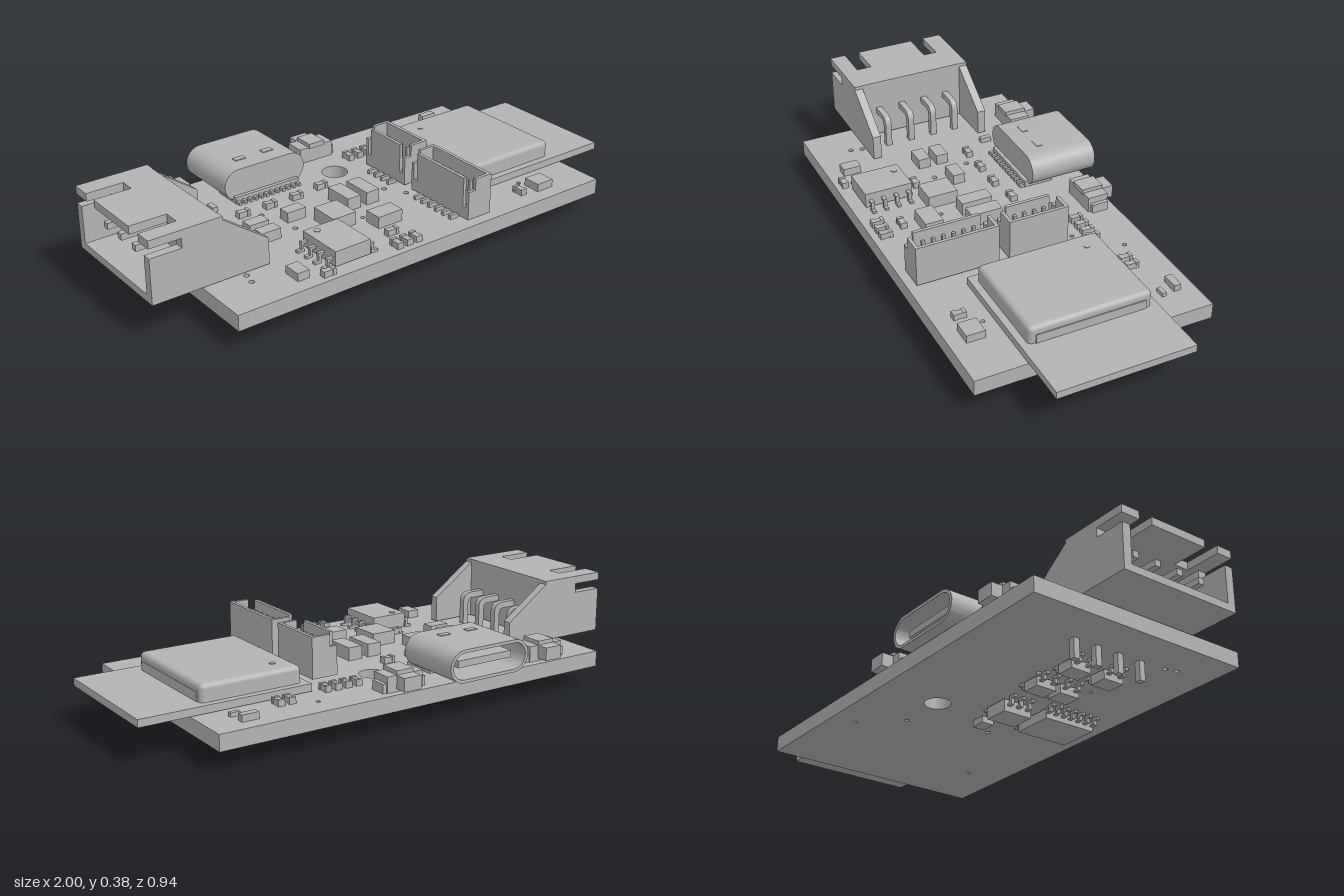
import * as THREE from 'three';
import { toCreasedNormals } from 'three/addons/utils/BufferGeometryUtils.js';
import { RoundedBoxGeometry } from 'three/addons/geometries/RoundedBoxGeometry.js';

const grey = new THREE.MeshStandardMaterial({ color: 0xb3b3b3 });
grey.name = 'plain grey';
const TOP = 0.135, BOTTOM = 0.075;

function add(parent, name, geometry) {
  const mesh = new THREE.Mesh(geometry, grey);
  mesh.name = name;
  parent.add(mesh);
  return mesh;
}

// box given by its limits on each axis
function box(parent, name, x0, x1, y0, y1, z0, z1) {
  const mesh = add(parent, name, new THREE.BoxGeometry(x1 - x0, y1 - y0, z1 - z0));
  mesh.position.set((x0 + x1) / 2, (y0 + y1) / 2, (z0 + z1) / 2);
  return mesh;
}

function group(parent, name) {
  const g = new THREE.Group();
  g.name = name;
  parent.add(g);
  return g;
}

const polygon = (pts) => new THREE.Shape(pts.map(([x, y]) => new THREE.Vector2(x, y)));

function extrude(shape, depth, segments = 8) {
  const g = new THREE.ExtrudeGeometry(shape, { depth, bevelEnabled: false, curveSegments: segments });
  return toCreasedNormals(g, 0.6);
}

// stadium-shaped outline in x and y
function stadium(Type, cx, cy, w, h) {
  const p = new Type(), r = h / 2, d = w / 2 - r;
  p.absarc(cx + d, cy, r, -Math.PI / 2, Math.PI / 2, false);
  p.absarc(cx - d, cy, r, Math.PI / 2, Math.PI * 1.5, false);
  p.closePath();
  return p;
}

// Circuit board with mounting hole and vias
function board(root) {
  const s = polygon([[-0.81, -0.47], [0.81, -0.47], [0.81, 0.43], [-0.81, 0.43]]);
  const holes = [[0.055, -0.185, 0.05], [-0.66, 0.32, 0.01], [-0.65, 0.275, 0.01], [-0.33, 0.1, 0.01],
    [-0.37, -0.055, 0.01], [-0.35, 0.195, 0.008], [0.115, 0.045, 0.01], [0.16, 0.12, 0.01],
    [0.38, -0.335, 0.008], [0.25, -0.19, 0.008], [-0.09, 0.18, 0.008], [0.55, 0.315, 0.008]];
  for (const [x, z, r] of holes) {
    const h = new THREE.Path();
    h.absarc(x, -z, r, 0, Math.PI * 2, true);
    s.holes.push(h);
  }
  const m = add(root, 'circuitBoard', extrude(s, TOP - BOTTOM, 14));
  m.rotation.x = -Math.PI / 2;
  m.position.y = BOTTOM;
}

// Side-entry power socket with four bent pins
function powerSocket(root) {
  const g = group(root, 'powerSocket');
  const side = polygon([[-1, 0.14], [-0.55, 0.14], [-0.55, 0.238], [-0.725, 0.362], [-0.725, 0.375],
    [-1, 0.375], [-1, 0.345], [-0.88, 0.345], [-0.88, 0.31], [-1, 0.31]]);
  for (const z of [-0.225, 0.23]) {
    add(g, 'socketSide', extrude(side, 0.033)).position.z = z;
  }
  box(g, 'socketFloor', -1, -0.73, 0.14, 0.168, -0.195, 0.232);
  box(g, 'socketBack', -0.775, -0.727, 0.14, 0.375, -0.195, 0.232);
  box(g, 'socketRoof', -0.86, -0.77, 0.345, 0.375, -0.195, 0.232);
  for (const [a, b] of [[-0.195, -0.15], [-0.095, 0.14], [0.2, 0.232]]) {
    box(g, 'roofTongue', -1, -0.86, 0.345, 0.375, a, b);
  }
  const r = 0.012;
  for (const z of [-0.125, -0.03, 0.067, 0.165]) {
    const bent = new THREE.Shape();
    bent.moveTo(-0.95, 0.25 - r);
    bent.lineTo(-0.67, 0.25 - r);
    bent.quadraticCurveTo(-0.652, 0.238, -0.652, 0.22);
    bent.lineTo(-0.652, 0);
    bent.lineTo(-0.628, 0);
    bent.lineTo(-0.628, 0.225);
    bent.quadraticCurveTo(-0.628, 0.262, -0.665, 0.25 + r);
    bent.lineTo(-0.95, 0.25 + r);
    add(g, 'bentPin', extrude(bent, 2 * r)).position.z = z - r;
  }
}

// Oval data port opening to the back
function dataPort(root) {
  const g = group(root, 'dataPort');
  const cx = -0.255, cy = 0.201;
  const shell = stadium(THREE.Shape, cx, cy, 0.35, 0.122);
  shell.holes.push(stadium(THREE.Path, cx, cy, 0.325, 0.098));
  add(g, 'portShell', extrude(shell, 0.27, 12)).position.z = -0.47;
  add(g, 'portBack', extrude(stadium(THREE.Shape, cx, cy, 0.33, 0.1), 0.05, 12)).position.z = -0.25;
  box(g, 'portTongue', cx - 0.12, cx + 0.12, cy - 0.013, cy + 0.013, -0.44, -0.24);
  box(g, 'portFoot', cx - 0.14, cx + 0.14, TOP, 0.16, -0.3, -0.185);
  for (let i = 0; i < 12; i++) {
    const x = cx - 0.132 + i * 0.024;
    box(g, 'portLead', x - 0.006, x + 0.006, TOP, 0.147, -0.2, -0.165);
  }
  for (const x of [-0.317, -0.196]) box(g, 'portLatch', x - 0.022, x + 0.022, 0.258, 0.265, -0.29, -0.265);
}

// Side push button
function button(root, x) {
  const g = group(root, 'pushButton');
  box(g, 'buttonBody', x - 0.075, x + 0.075, TOP, 0.195, -0.4, -0.32);
  box(g, 'buttonCover', x - 0.035, x + 0.035, 0.19, 0.21, -0.4, -0.315);
  box(g, 'buttonPlunger', x - 0.036, x + 0.036, 0.145, 0.195, -0.445, -0.395);
  for (const s of [-1, 1]) {
    box(g, 'buttonLead', x + s * 0.08 - 0.01, x + s * 0.08 + 0.01, TOP, 0.17, -0.395, -0.33);
  }
}

// Upright header: open box with two columns of pins
function header(root, z0, z1, count) {
  const g = group(root, 'header');
  const x0 = 0.183, x1 = 0.287, t = 0.013;
  box(g, 'headerFloor', x0, x1, 0.145, 0.19, z0, z1);
  box(g, 'headerWall', x1 - t, x1, 0.15, 0.3, z0, z1);
  box(g, 'headerWall', x0, x0 + t, 0.15, 0.3, z0 + 0.03, z1 - 0.03);
  for (const z of [z0, z1 - t]) {
    box(g, 'headerEnd', x0, x1, 0.15, 0.255, z, z + t);
    box(g, 'headerEndPost', x0 + 0.03, x1, 0.25, 0.3, z, z + t);
  }
  for (let i = 0; i < count; i++) {
    const z = (z0 + z1) / 2 + (i - (count - 1) / 2) * 0.039;
    box(g, 'headerLead', 0.148, 0.19, TOP, 0.15, z - 0.006, z + 0.006);
    for (const x of [0.208, 0.243]) box(g, 'headerPin', x - 0.006, x + 0.006, 0.18, 0.265, z - 0.006, z + 0.006);
  }
}

// Chip with stepped leads along both x sides; dir is +1 on top, -1 underneath
function chip(root, x, z, w, d, h, count, pitch, dir = 1) {
  const g = group(root, 'leadedChip');
  g.position.set(x, dir > 0 ? TOP : BOTTOM, z);
  if (dir < 0) g.rotation.z = Math.PI;
  box(g, 'chipBody', -w / 2, w / 2, 0.008, h, -d / 2, d / 2);
  for (const s of [-1, 1]) {
    for (let i = 0; i < count; i++) {
      const pz = (i - (count - 1) / 2) * pitch, px = s * (w / 2 + 0.011);
      box(g, 'leadShoulder', px - 0.014, px + 0.014, h * 0.45, h * 0.6, pz - 0.007, pz + 0.007);
      box(g, 'leadFoot', px + s * 0.016 - 0.014, px + s * 0.016 + 0.014, 0, 0.01, pz - 0.007, pz + 0.007);
      box(g, 'leadLeg', px + s * 0.008 - 0.005, px + s * 0.008 + 0.005, 0, h * 0.6, pz - 0.007, pz + 0.007);
    }
  }
  return g;
}

// Radio module: carrier board past the edge, metal can on top
function radioModule(root) {
  const g = group(root, 'radioModule');
  box(g, 'moduleBoard', 0.345, 1, 0.138, 0.166, -0.24, 0.277);
  const can = add(g, 'shieldCan', new RoundedBoxGeometry(0.39, 0.1, 0.465, 3, 0.018));
  can.position.set(0.565, 0.18, 0.018);
  box(g, 'canFlange', 0.366, 0.764, 0.16, 0.2, -0.19, 0.225);
  const dot = add(g, 'cornerMark', new THREE.CylinderGeometry(0.011, 0.011, 0.005, 16));
  dot.position.set(0.443, 0.23, -0.14);
}

export function createModel() {
  const root = new THREE.Group();
  root.name = 'circuitBoardAssembly';
  board(root);
  powerSocket(root);
  dataPort(root);
  button(root, -0.577);
  button(root, 0.065);
  header(root, -0.152, 0.082, 4);
  header(root, 0.123, 0.44, 6);
  radioModule(root);

  // Leaded chips on top and underneath
  chip(root, -0.315, 0.325, 0.148, 0.188, 0.065, 4, 0.05).add(
    Object.assign(new THREE.Mesh(new THREE.CylinderGeometry(0.012, 0.012, 0.004, 16), grey), { name: 'chipMark' }));
  root.children.at(-1).children.at(-1).position.set(-0.035, 0.066, -0.065);
  chip(root, -0.08, 0.255, 0.165, 0.22, 0.045, 7, 0.035, -1);
  for (const [x, z] of [[-0.505, 0.135], [-0.505, -0.01], [-0.325, 0.09], [-0.325, -0.015]]) {
    chip(root, x, z, 0.07, 0.085, 0.044, 2, 0.05, -1);
  }
  chip(root, -0.09, 0.03, 0.1, 0.12, 0.055, 3, 0.04, -1);
  box(root, 'undersideCapacitor', 0.045, 0.105, 0.05, BOTTOM, 0.01, 0.06);

  // Small surface parts: centre x, centre z, width, depth, height
  const parts = [[-0.45, 0.03, 0.08, 0.048, 0.04], [-0.45, 0.105, 0.08, 0.048, 0.04], [-0.29, 0.03, 0.08, 0.048, 0.04],
    [-0.19, 0.147, 0.1, 0.118, 0.05], [-0.075, 0.05, 0.058, 0.123, 0.05], [0.01, 0.05, 0.058, 0.123, 0.05],
    [-0.045, 0.248, 0.107, 0.07, 0.045], [-0.515, 0.377, 0.048, 0.07, 0.03], [0.593, 0.377, 0.075, 0.07, 0.03],
    [0.663, -0.36, 0.064, 0.027, 0.025], [0.684, -0.302, 0.037, 0.016, 0.015], [-0.49, -0.195, 0.02, 0.043, 0.02]];
  for (const [x, z, w, d, h] of parts) {
    box(root, 'surfacePart', x - w / 2, x + w / 2, TOP, TOP + h, z - d / 2, z + d / 2);
  }

  // Tiny resistors and capacitors with end caps, lying along x or along z
  const tiny = (x, z, along) => {
    const a = along ? 0.022 : 0.011, b = along ? 0.011 : 0.022;
    box(root, 'tinyPart', x - a, x + a, TOP, 0.157, z - b, z + b);
    for (const s of [-1, 1]) {
      const cx = along ? x + s * 0.018 : x, cz = along ? z : z + s * 0.018;
      const e = along ? 0.006 : 0.013, f = along ? 0.013 : 0.006;
      box(root, 'tinyPartCap', cx - e, cx + e, TOP, 0.159, cz - f, cz + f);
    }
  };
  for (const [x, z] of [[-0.427, -0.088], [-0.31, -0.088], [-0.193, -0.088], [-0.07, -0.104], [-0.315, 0.19],
    [-0.086, 0.34], [-0.433, 0.436]]) tiny(x, z, true);
  for (const [x, z] of [[-0.128, 0.42], [-0.086, 0.42], [-0.045, 0.42], [0.17, -0.25], [0.213, -0.25], [0.255, -0.25],
    [0.297, -0.25], [0.465, -0.287], [0.508, -0.287], [0.495, 0.377]]) tiny(x, z, false);
  return root;
}
